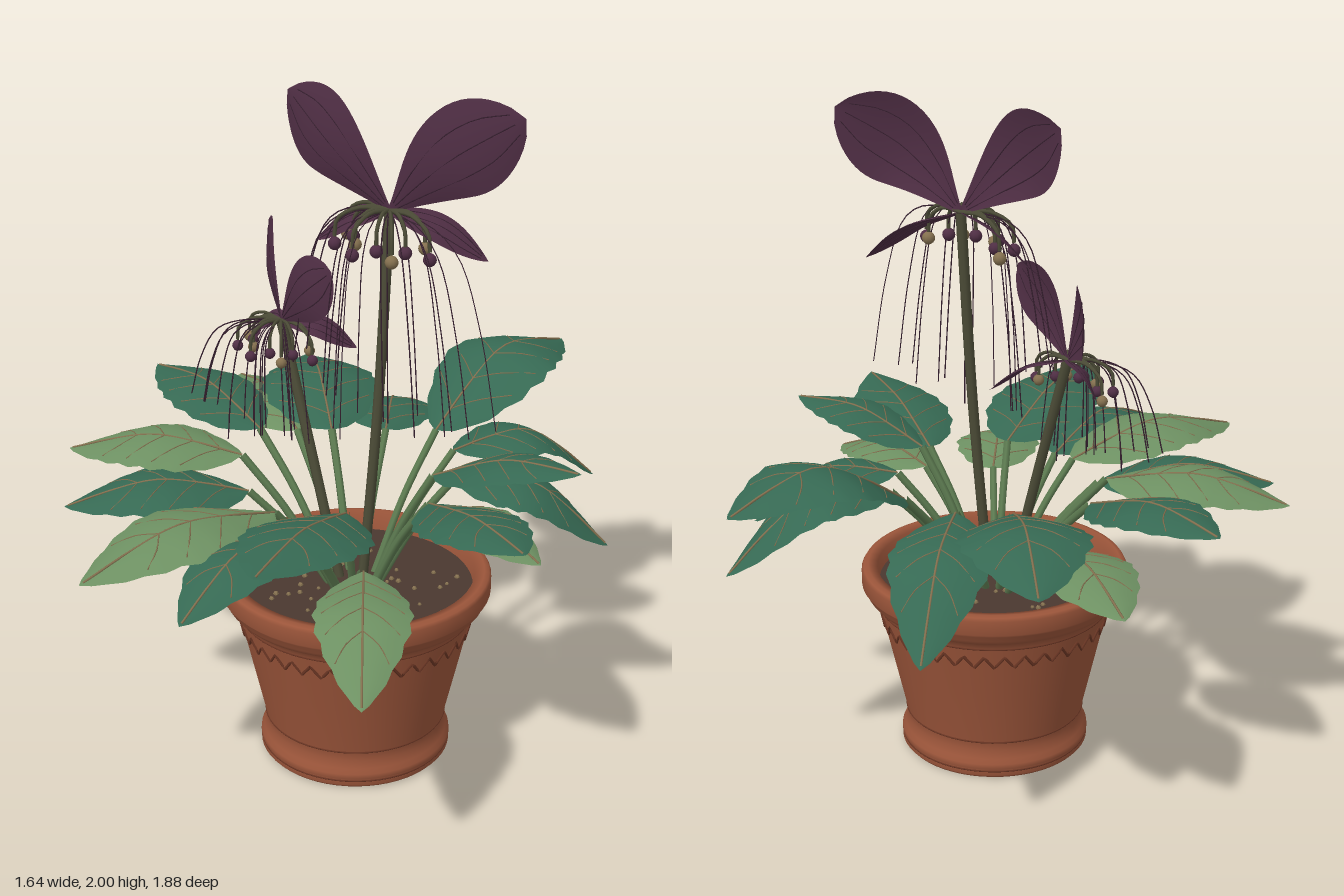
import * as THREE from 'three';

const V = (x, y, z) => new THREE.Vector3(x, y, z);
const paint = (name, color, side = THREE.FrontSide) => {
  const m = new THREE.MeshStandardMaterial({ color, side });
  m.name = name;
  return m;
};

export function createModel() {
  const model = new THREE.Group();
  model.name = 'pottedFlower';
  const D = THREE.DoubleSide;
  const terracotta = paint('terracotta', 0x9b553a, D);
  const groove = paint('grooveBrown', 0x6b3624);
  const soilBrown = paint('soilBrown', 0x4a3830);
  const tan = paint('tan', 0x84704f);
  const darkGreen = paint('darkGreen', 0x366953, D);
  const lightGreen = paint('lightGreen', 0x6d9062, D);
  const stalkGreen = paint('stalkGreen', 0x5c7a50);
  const olive = paint('olive', 0x4c4c37);
  const plum = paint('plum', 0x4f2e44, D);
  const blackPlum = paint('blackPlum', 0x372030);

  let seed = 7;
  const rnd = () => (seed = (seed * 16807) % 2147483647) / 2147483647;

  const add = (parent, name, geo, mat) => {
    const mesh = new THREE.Mesh(geo, mat);
    mesh.name = name;
    parent.add(mesh);
    return mesh;
  };
  const tube = (parent, name, pts, r, mat, seg = 14, sides = 6) =>
    add(parent, name, new THREE.TubeGeometry(new THREE.CatmullRomCurve3(pts), seg, r, sides), mat);

  // Curved blade around a centre line; returns its surface function
  function blade(parent, name, curve, hint, width, profile, cup, mat, rows, cols) {
    const at = (t, s) => {
      const along = curve.getTangent(t);
      const side = along.clone().cross(hint).normalize();
      const normal = side.clone().cross(along);
      const w = (width / 2) * profile(t);
      return curve.getPoint(t).addScaledVector(side, s * w).addScaledVector(normal, -cup * w * s * s);
    };
    const pos = [], index = [];
    for (let i = 0; i <= rows; i++) {
      for (let j = 0; j <= cols; j++) {
        pos.push(...at(i / rows, (j / cols) * 2 - 1).toArray());
        if (i < rows && j < cols) {
          const a = i * (cols + 1) + j, b = a + cols + 1;
          index.push(a, a + 1, b, b, a + 1, b + 1);
        }
      }
    }
    const geo = new THREE.BufferGeometry();
    geo.setAttribute('position', new THREE.Float32BufferAttribute(pos, 3));
    geo.setIndex(index);
    geo.computeVertexNormals();
    add(parent, name, geo, mat);
    return at;
  }

  // Pot, turned from one profile
  const pot = new THREE.Group();
  pot.name = 'pot';
  pot.position.set(0.077, 0, 0.04);
  model.add(pot);
  const profile = [[0, 0], [0.276, 0], [0.285, 0.01], [0.28, 0.022], [0.286, 0.032], [0.285, 0.046],
    [0.276, 0.06], [0.268, 0.085], [0.27, 0.113], [0.309, 0.285], [0.347, 0.455], [0.354, 0.48], [0.374, 0.49],
    [0.386, 0.505], [0.39, 0.52], [0.4, 0.53], [0.4, 0.573], [0.394, 0.583], [0.38, 0.587], [0.352, 0.58], [0.343, 0.5]];
  add(pot, 'potBody', new THREE.LatheGeometry(profile.map(p => new THREE.Vector2(...p)), 56), terracotta);
  const soil = add(pot, 'soil', new THREE.CylinderGeometry(0.348, 0.34, 0.03, 40), soilBrown);
  soil.position.y = 0.52;
  for (const [r, y] of [[0.27, 0.113], [0.348, 0.46], [0.281, 0.022]]) {
    const ring = add(pot, 'grooveRing', new THREE.TorusGeometry(r, 0.003, 5, 56), groove);
    ring.rotation.x = Math.PI / 2;
    ring.position.y = y;
  }
  const zig = [];
  for (let i = 0; i < 72; i++) {
    const a = (i / 72) * Math.PI * 2, up = i % 2;
    const r = up ? 0.344 : 0.335;
    zig.push(V(Math.sin(a) * r, up ? 0.432 : 0.394, Math.cos(a) * r));
  }
  add(pot, 'zigzagBand', new THREE.TubeGeometry(
    new THREE.CatmullRomCurve3(zig, true, 'catmullrom', 0), 288, 0.0045, 4, true), groove);
  for (let i = 0; i < 44; i++) {
    const a = rnd() * 6.28, r = 0.08 + rnd() * 0.25;
    const pebble = add(pot, 'pebble', new THREE.IcosahedronGeometry(0.005 + rnd() * 0.004, 0), tan);
    pebble.position.set(Math.cos(a) * r, 0.537, Math.sin(a) * r);
  }

  // Leaves: tip, blade base, middle height, width, colour
  const G = darkGreen, L = lightGreen;
  const leaves = [
    [[0.16, 1.02, -0.945], [0.1, 0.9, -0.33], 1.08, 0.36, G],
    [[0.425, 0.7, -0.725], [0.2, 0.88, -0.28], 0.9, 0.26, G],
    [[-0.35, 0.675, -0.765], [-0.05, 0.88, -0.28], 0.87, 0.28, G],
    [[0.69, 0.68, -0.365], [0.3, 0.87, -0.14], 0.87, 0.29, G],
    [[0.73, 1.01, -0.12], [0.3, 0.92, -0.03], 1.01, 0.24, G],
    [[0.815, 0.96, 0.295], [0.35, 0.88, 0.06], 0.95, 0.29, G],
    [[0.72, 0.8, 0.055], [0.32, 0.84, 0.01], 0.87, 0.25, L],
    [[0.63, 0.645, 0.75], [0.3, 0.75, 0.3], 0.77, 0.26, L],
    [[0.34, 0.96, 0.82], [0.2, 0.88, 0.25], 0.96, 0.34, G],
    [[0.16, 0.8, 0.905], [0.1, 0.83, 0.36], 0.89, 0.26, G],
    [[-0.16, 0.83, 0.94], [0, 0.85, 0.32], 0.91, 0.33, L],
    [[-0.54, 0.82, 0.61], [-0.16, 0.84, 0.24], 0.89, 0.33, G],
    [[-0.735, 0.87, 0.385], [-0.25, 0.9, 0.16], 0.94, 0.32, L],
    [[-0.825, 0.96, -0.11], [-0.33, 0.9, -0.02], 0.98, 0.29, G],
    [[-0.61, 0.89, -0.6], [-0.18, 0.88, -0.18], 0.96, 0.36, G],
    [[-0.77, 0.83, -0.45], [-0.33, 0.83, -0.2], 0.88, 0.28, L],
  ];
  const up = V(0, 1, 0);
  const leafShape = t => Math.pow(Math.max(0, Math.sin(Math.PI * Math.pow(t, 0.84))), 0.8)
    * (1 + 0.04 * Math.cos(t * Math.PI * 14)) + 0.02 * (1 - t);
  for (const [tip, base, midY, width, mat] of leaves) {
    const leaf = new THREE.Group();
    leaf.name = 'leaf';
    model.add(leaf);
    const a = V(...base), c = V(...tip);
    const mid = a.clone().lerp(c, 0.5).setY(midY);
    const curve = new THREE.CatmullRomCurve3([a, mid, c]);
    const at = blade(leaf, 'leafBlade', curve, up, width, leafShape, 0.22, mat, 28, 6);
    const root = V(0.075 + (a.x - 0.075) * 0.22, 0.52, 0.04 + (a.z - 0.04) * 0.22);
    const bend = root.clone().lerp(a, 0.5);
    bend.y += 0.03;
    tube(leaf, 'leafStalk', [root, bend, a], 0.012, stalkGreen);
    tube(leaf, 'midrib', [0, 0.25, 0.5, 0.75, 0.98].map(t => at(t, 0)), 0.0035, tan);
    for (const s of [-1, 1]) {
      for (const t of [0.12, 0.28, 0.44, 0.6]) {
        tube(leaf, 'sideVein', [at(t, 0), at(t + 0.07, s * 0.4), at(t + 0.16, s * 0.82)], 0.002, tan, 6, 4);
      }
    }
  }

  // Flower: upper petals, lower petals, drooping buds and long whiskers
  const petalShape = t => Math.pow(Math.max(0, Math.sin(Math.PI * Math.pow(t, 1.55))), 0.7) + 0.06 * (1 - t);
  const lowShape = t => Math.pow(Math.max(0, Math.sin(Math.PI * Math.pow(t, 0.95))), 0.8) + 0.06 * (1 - t);
  function flower(name, centre, k, upper, lower, reach, drop, stem) {
    const g = new THREE.Group();
    g.name = name;
    model.add(g);
    tube(g, 'flowerStem', [...stem, centre], 0.015, olive, 20, 8);
    // Each petal: tip, facing direction, width, sideways bow of its middle
    const makePetal = (label, [end, hint, width, bow], shape) => {
      const e = V(...end), mid = centre.clone().lerp(e, 0.5).add(V(...bow));
      const at = blade(g, label, new THREE.CatmullRomCurve3([centre, mid, e]), V(...hint), width, shape, 0.12, plum, 22, 8);
      for (const s of [-0.5, 0, 0.5]) {
        tube(g, 'petalVein', [0.05, 0.3, 0.55, 0.75, 0.93].map(t => at(t, s)), 0.0016, blackPlum, 12, 4);
      }
    };
    upper.forEach(p => makePetal('upperPetal', p, petalShape));
    lower.forEach(p => makePetal('lowerPetal', p, lowShape));
    // Buds on short hooked stalks
    for (let i = 0; i < 10; i++) {
      const a = (i / 9) * Math.PI * 1.1 - 0.15, r = (0.09 + 0.04 * (i % 2)) * k;
      const p = (f, y) => V(centre.x + Math.cos(a) * r * f * 1.25, centre.y + y * k, centre.z + Math.sin(a) * r * f);
      tube(g, 'budStalk', [centre, p(0.55, 0.005), p(0.95, -0.03), p(1, -0.08)], 0.006 * k, olive, 10, 5);
      const bud = add(g, 'bud', new THREE.SphereGeometry(0.019 * k, 10, 8), i % 3 ? plum : tan);
      bud.position.copy(p(1, -0.09 - 0.012 * (i % 2)));
    }
    // Whiskers arch outward, then hang
    const n = 17;
    for (let i = 0; i < n; i++) {
      const u = (i / (n - 1)) * 2 - 1;
      const dx = u < 0 ? u * reach[0] : u * reach[1];
      const dz = 0.03 + 0.14 * rnd() * (1 - 0.4 * u * u);
      const dy = -drop * (0.82 + 0.25 * rnd()) * (1 - 0.3 * Math.pow(Math.max(0, -u), 3));
      const p = (fx, fy, fz) => V(centre.x + dx * fx, centre.y + dy * fy, centre.z + dz * fz);
      tube(g, 'whisker', [centre, p(0.4, 0.02, 0.55), p(0.65, 0.14, 0.85), p(0.85, 0.5, 1), p(1, 1, 1.05)],
        0.0019, blackPlum, 18, 4);
    }
  }

  flower('tallFlower', V(0.13, 1.67, -0.04), 1,
    [[[-0.225, 1.955, -0.04], [-0.05, 0, 1], 0.235, [0, 0.02, 0.035]],
      [[0.465, 1.95, -0.19], [0.4, 0, 0.92], 0.255, [0, 0.02, 0.04]]],
    [[[-0.12, 1.54, -0.03], [0.1, 1, 0.5], 0.11, [0, 0.03, 0]],
      [[0.36, 1.53, -0.19], [-0.1, 1, 0.4], 0.13, [0, 0.03, 0]]],
    [0.3, 0.4], 0.6, [V(0.1, 0.52, 0.04), V(0.125, 1.1, 0)]);
  flower('shortFlower', V(-0.21, 1.29, 0.02), 0.85,
    [[[-0.4, 1.51, -0.16], [-0.69, 0, 0.72], 0.2, [-0.01, 0.02, 0.02]],
      [[0.035, 1.51, 0.1], [-0.3, 0, 0.95], 0.18, [0, 0.01, 0.02]]],
    [[[-0.34, 1.2, -0.01], [0.1, 1, 0.5], 0.09, [0, 0.03, 0]],
      [[-0.04, 1.2, -0.12], [-0.1, 1, 0.4], 0.11, [0, 0.03, 0]]],
    [0.25, 0.13], 0.34, [V(0.02, 0.52, 0.04), V(-0.1, 0.93, 0.03)]);

  return model;
}
